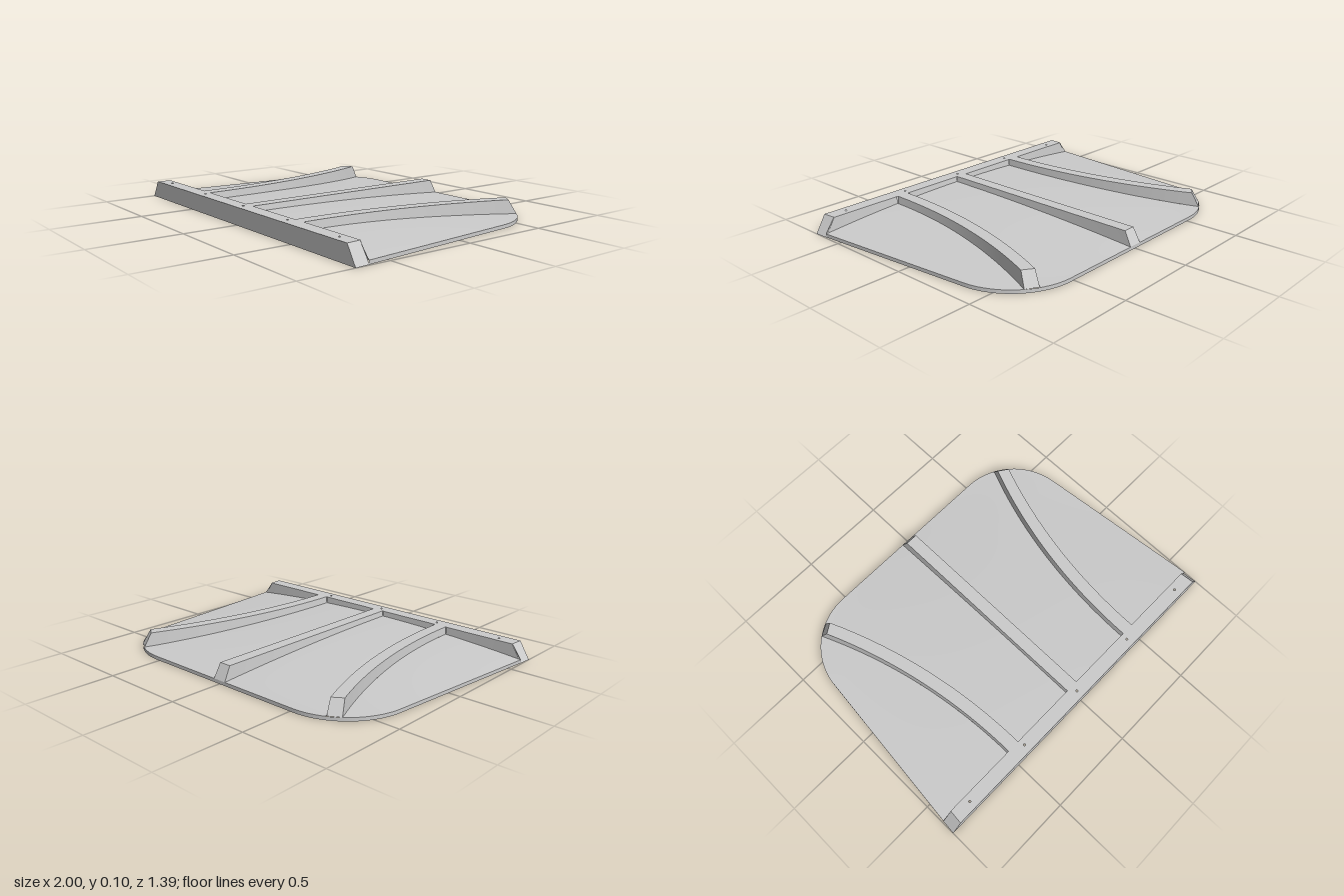
import * as THREE from 'three';
import { toCreasedNormals } from 'three/addons/utils/BufferGeometryUtils.js';

// Thin moulded sheet: the beam and ribs are hollow and open underneath
const material = new THREE.MeshStandardMaterial({ color: 0xcccccc, side: THREE.DoubleSide });
const TOP = 0.098, RIM = 0.02, FRONT = 0.695, INNER = 0.615, BACK = -0.695;
const FOOT = 0.041, CREST = 0.036; // half widths of a rib at its foot and top
const ROWS = 44;

const { clamp, lerp } = THREE.MathUtils;

// Rows from the beam to the back edge, closer together near the rounded corners
const rowZ = (j) => lerp(INNER, BACK, Math.sin((j / ROWS) * Math.PI / 2));

// Half width of the plan: tapering sides, then a rounded corner
function halfWidth(z) {
  if (z > -0.349) return 0.898 + (z + 0.349) * 0.0977;
  return 0.52 + Math.sqrt(Math.max(0, 0.38 ** 2 - (z + 0.315) ** 2));
}

// Height of the domed panel, falling to the rim at the sides and back
function panelY(x, z) {
  const u = x / halfWidth(z), v = (INNER - z) / (INNER - BACK);
  return RIM + 0.047 * Math.max(0, 1 - u * u) * (1 - v * v);
}

// x of a line along a rib (side -1, 0 or 1), kept inside the outline
function rail(side, offset, z) {
  const bend = 3.09 - Math.sqrt(3.09 ** 2 - (INNER - z) ** 2);
  const w = halfWidth(z);
  return clamp(side * (0.4625 + bend) + offset, -w, w);
}

// Surface from a grid of points: point(i, j) returns [x, y, z]
function surface(ni, nj, point) {
  const pos = [], index = [];
  for (let i = 0; i <= ni; i++)
    for (let j = 0; j <= nj; j++) {
      pos.push(...point(i, j));
      if (i === ni || j === nj) continue;
      const a = i * (nj + 1) + j, b = a + nj + 1;
      index.push(a, a + 1, b, b, a + 1, b + 1);
    }
  const geo = new THREE.BufferGeometry();
  geo.setAttribute('position', new THREE.Float32BufferAttribute(pos, 3));
  geo.setIndex(index);
  geo.computeVertexNormals();
  return geo;
}

function part(name, geometry) {
  const mesh = new THREE.Mesh(geometry, material);
  mesh.name = name;
  return mesh;
}

function group(name, ...children) {
  const g = new THREE.Group();
  g.name = name;
  return g.add(...children);
}

// One panel bay between two rails, with the beam's inner wall at its front
function makeBay(name, left, right) {
  const n = 16;
  const xAt = (i, z) => lerp(rail(...left, z), rail(...right, z), i / n);
  const sheet = surface(n, ROWS, (i, j) => {
    const z = rowZ(ROWS - j), x = xAt(i, z);
    return [x, panelY(x, z), z];
  });
  const wall = surface(n, 1, (i, j) => {
    const x = xAt(i, INNER);
    return j ? [clamp(x, -0.933, 0.933), TOP, INNER + 0.004] : [x, panelY(x, INNER), INNER];
  });
  return group(name, part('panelSheet', sheet), part('beamInnerWall', wall));
}

// Low skirt round the sides and back of the panel
function makeRim() {
  const n = 2 * ROWS + 1;
  return part('panelRim', surface(n, 1, (i, j) => {
    const z = rowZ(Math.min(i, n - i));
    return [(i <= ROWS ? 1 : -1) * halfWidth(z), j ? 0 : RIM, z];
  }));
}

// Hollow rib with a sloping back end; side ribs bend outwards
function makeRib(name, side) {
  const corners = [[FOOT, false], [CREST, true], [-CREST, true], [-FOOT, false]];
  const corner = (k, s) => {
    const [offset, top] = corners[k];
    const foot = side === 0 ? BACK : offset * side > 0 ? -0.612 : -0.65;
    const z = lerp(INNER, foot + (top ? 0.042 : 0), s);
    const x = rail(side, offset, z);
    return [x, top ? TOP : panelY(x, z), z];
  };
  const walls = surface(3, 32, (i, j) => corner(i, j / 32));
  const end = surface(1, 1, (i, j) => corner(i ? j : 3 - j, 1));
  return group(name, part('ribWalls', toCreasedNormals(walls, 0.5)), part('ribEnd', end));
}

// Front beam: sloping end walls, front wall and a top with small screw holes
function makeBeam() {
  const plan = [[0.993, INNER], [1, FRONT], [-1, FRONT], [-0.993, INNER]];
  const inset = (x) => x - Math.sign(x) * 0.06;
  const walls = surface(3, 1, (i, j) => {
    const [x, z] = plan[3 - i];
    return j ? [inset(x), TOP, z] : [x, 0, z];
  });
  const shape = new THREE.Shape(plan.map(([x, z]) => new THREE.Vector2(inset(x), -z)));
  for (const x of [-0.83, -0.415, 0, 0.415, 0.83]) {
    const hole = new THREE.Path();
    hole.absarc(x, -0.652, 0.006, 0, Math.PI * 2, true);
    shape.holes.push(hole);
  }
  const top = new THREE.ShapeGeometry(shape, 6).rotateX(-Math.PI / 2).translate(0, TOP, 0);
  return group('frontBeam', part('beamWalls', toCreasedNormals(walls, 0.5)), part('beamTop', top));
}

export function createModel() {
  return group('ribbedPanel',
    makeBay('rightOuterBay', [-1, -1], [-1, -FOOT]),
    makeBay('rightInnerBay', [-1, FOOT], [0, -FOOT]),
    makeBay('leftInnerBay', [0, FOOT], [1, -FOOT]),
    makeBay('leftOuterBay', [1, FOOT], [1, 1]),
    makeRim(),
    makeBeam(),
    makeRib('centreRib', 0),
    makeRib('leftRib', 1),
    makeRib('rightRib', -1),
  );
}
